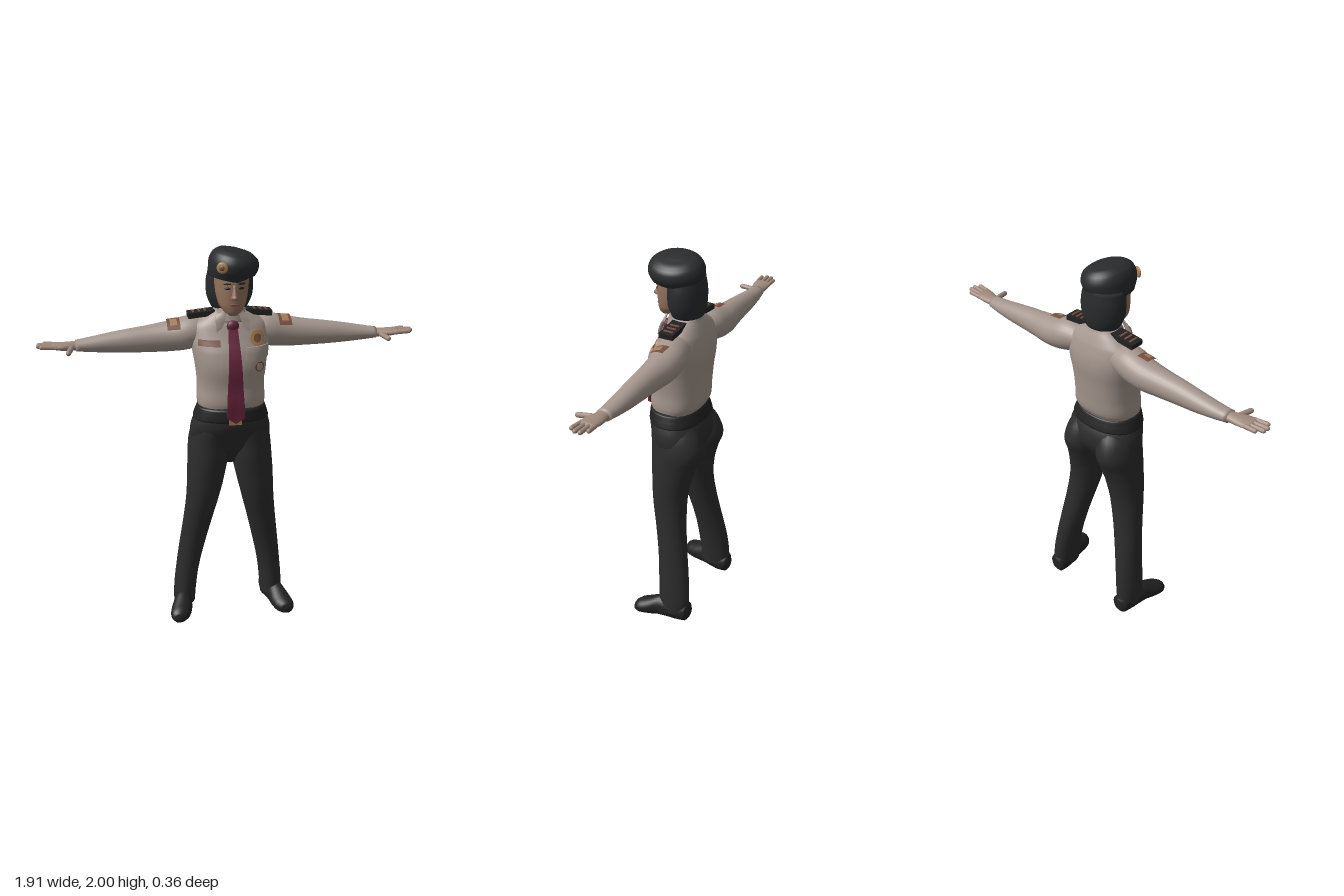
import * as THREE from 'three';

const mat = (name, color) => Object.assign(new THREE.MeshStandardMaterial({ color }), { name });

// Catmull-Rom blend of section i and i+1; the running axis stays linear
function sample(sec, axis, i, f) {
  const at = k => sec[Math.min(Math.max(k, 0), sec.length - 1)];
  const [a, b, c, d] = [at(i - 1), at(i), at(i + 1), at(i + 2)];
  return b.map((v, k) => k === axis ? v + (c[k] - v) * f
    : 0.5 * (2 * v + (c[k] - a[k]) * f + (2 * a[k] - 5 * v + 4 * c[k] - d[k]) * f * f
      + (3 * v - a[k] - 3 * c[k] + d[k]) * f * f * f));
}

// Smooth closed skin over sections [x, y, z, r1, r2] running up the given axis
function loft(sec, axis = 1, e = 1, sides = 28, sub = 4) {
  const pos = [], idx = [], rings = (sec.length - 1) * sub;
  const pw = v => Math.sign(v) * Math.abs(v) ** e;
  for (let k = 0; k <= rings; k++) {
    const i = Math.min(Math.floor(k / sub), sec.length - 2);
    const [x, y, z, r1, r2] = sample(sec, axis, i, k / sub - i);
    for (let j = 0; j < sides; j++) {
      const t = j / sides * Math.PI * 2, c = r1 * pw(Math.cos(t)), s = r2 * pw(Math.sin(t));
      const p = axis === 1 ? [x + c, y, z + s] : axis === 0 ? [x, y + c, z - s] : [x + c, y - s, z];
      pos.push(...p);
    }
  }
  const first = sec[0], last = sec[sec.length - 1], c0 = pos.length / 3;
  pos.push(...first.slice(0, 3), ...last.slice(0, 3));
  for (let j = 0; j < sides; j++) {
    const n = (j + 1) % sides, top = rings * sides;
    for (let i = 0; i < rings; i++) {
      const a = i * sides, b = a + sides;
      idx.push(a + j, b + j, a + n, b + j, b + n, a + n);
    }
    idx.push(j, n, c0, top + n, top + j, c0 + 1);
  }
  const g = new THREE.BufferGeometry();
  g.setAttribute('position', new THREE.Float32BufferAttribute(pos, 3));
  g.setIndex(idx);
  g.computeVertexNormals();
  return g;
}

function mirrored(geo) {
  const g = geo.clone().scale(-1, 1, 1), ix = g.index;
  for (let i = 0; i < ix.count; i += 3) {
    const a = ix.getX(i);
    ix.setX(i, ix.getX(i + 2));
    ix.setX(i + 2, a);
  }
  g.computeVertexNormals();
  return g;
}

// Capsule between two points
function capsule(a, b, r) {
  const A = new THREE.Vector3(...a), B = new THREE.Vector3(...b), d = B.clone().sub(A);
  const g = new THREE.CapsuleGeometry(r, d.length(), 5, 10);
  g.applyQuaternion(new THREE.Quaternion().setFromUnitVectors(new THREE.Vector3(0, 1, 0), d.normalize()));
  const m = A.add(B).multiplyScalar(0.5);
  return g.translate(m.x, m.y, m.z);
}

const blob = (x, y, z, rx, ry, rz, turn = 0) =>
  new THREE.SphereGeometry(1, 18, 12).scale(rx, ry, rz).rotateY(turn).translate(x, y, z);

const TORSO = [[0, 1.19, .012, .165, .118], [0, 1.24, .005, .174, .135], [0, 1.32, 0, .17, .136],
  [0, 1.42, 0, .18, .143], [0, 1.5, -.012, .193, .138], [0, 1.56, -.025, .198, .12],
  [0, 1.62, -.03, .185, .098], [0, 1.66, -.03, .13, .08], [0, 1.7, -.03, .07, .062]];
const ROUND = .85;

// Depth of the shirt front at a given x and y
function shirtZ(x, y) {
  let i = 0;
  while (i < TORSO.length - 2 && TORSO[i + 1][1] < y) i++;
  const f = Math.min(Math.max((y - TORSO[i][1]) / (TORSO[i + 1][1] - TORSO[i][1]), 0), 1);
  const [, , z, rx, rz] = sample(TORSO, 1, i, f);
  return z + rz * Math.max(.02, 1 - Math.abs(x / rx) ** (2 / ROUND)) ** (ROUND / 2);
}

// Plate that follows the shirt front; fn maps u, v in -1..1 to [x, y, lift]
function patch(fn, thick = .008, n = 10) {
  const g = new THREE.BoxGeometry(2, 2, 1, n, n, 1), p = g.attributes.position;
  for (let i = 0; i < p.count; i++) {
    const [x, y, lift = 0] = fn(p.getX(i), p.getY(i));
    p.setXYZ(i, x, y, shirtZ(x, y) + lift + (p.getZ(i) + .5) * thick);
  }
  g.computeVertexNormals();
  return g;
}
const disc = (x, y, r) => (u, v) =>
  [x + r * u * Math.sqrt(1 - v * v / 2), y + r * v * Math.sqrt(1 - u * u / 2)];

export function createModel() {
  const root = new THREE.Group();
  root.name = 'uniformedOfficer';
  const shirt = mat('shirtTaupe', 0xa4968d), trouser = mat('trouserCharcoal', 0x2c2c2d),
    black = mat('beretBlack', 0x292b2c), tieRed = mat('tieMaroon', 0x64233a),
    skin = mat('faceSkin', 0x94735d), handSkin = mat('handSkin', 0xa08a7d),
    gold = mat('badgeGold', 0xa67f58), brown = mat('patchBrown', 0x76503f),
    leather = mat('leatherBlack', 0x222223);
  const add = (name, geo, m) => {
    const mesh = new THREE.Mesh(geo, m);
    mesh.name = name;
    root.add(mesh);
  };
  const pair = (name, geo, m) => {
    add(name + 'Left', geo, m);
    add(name + 'Right', mirrored(geo), m);
  };

  // Trousers and belt
  add('hips', loft([[0, .88, -.02, .07, .04], [0, .96, -.02, .18, .09], [0, 1.03, -.02, .208, .125],
    [0, 1.1, -.005, .203, .142], [0, 1.17, .01, .18, .13], [0, 1.215, .012, .172, .124]], 1, .9), trouser);
  pair('trouserLeg', loft([[.245, .035, -.085, .058, .084], [.24, .12, -.085, .06, .087],
    [.225, .25, -.075, .062, .085], [.2, .4, -.055, .069, .08], [.172, .55, -.03, .077, .082],
    [.145, .7, -.01, .088, .092], [.128, .82, -.012, .1, .105], [.115, .92, -.022, .106, .124],
    [.11, 1, -.035, .105, .139], [.1, 1.08, -.02, .098, .132], [.08, 1.16, .005, .085, .11]]), trouser);
  add('belt', loft([[0, 1.14, .005, .194, .139], [0, 1.15, .006, .193, .141], [0, 1.2, .012, .177, .132],
    [0, 1.208, .012, .172, .126]], 1, .9), leather);
  add('beltBuckle', new THREE.BoxGeometry(.065, .04, .009).translate(0, 1.155, .151), gold);

  // Shoes, flattened at the sole
  const shoe = loft([[.24, .05, -.178, .03, .035], [.241, .05, -.165, .048, .055], [.246, .05, -.1, .055, .062],
    [.262, .05, -.01, .051, .064], [.277, .038, .05, .057, .05], [.288, .03, .095, .052, .04],
    [.294, .025, .12, .034, .028], [.296, .02, .127, .014, .012]], 2);
  const sp = shoe.attributes.position;
  for (let i = 0; i < sp.count; i++) {
    const arch = sp.getZ(i) > -.09 && sp.getZ(i) < 0 ? .012 : 0;
    sp.setY(i, Math.max(sp.getY(i), arch));
  }
  shoe.computeVertexNormals();
  pair('shoe', shoe, leather);

  // Shirt body and sleeves
  add('shirtBody', loft(TORSO, 1, ROUND, 36), shirt);
  pair('sleeve', loft([[.1, 1.58, -.045, .06, .07], [.2, 1.57, -.052, .084, .086], [.3, 1.553, -.06, .077, .079],
    [.4, 1.545, -.056, .068, .066], [.5, 1.54, -.052, .06, .058], [.6, 1.535, -.05, .05, .051],
    [.7, 1.531, -.045, .037, .044], [.765, 1.53, -.04, .029, .038]], 0), shirt);
  add('collarBand', loft([[0, 1.64, -.02, .1, .09], [0, 1.675, -.015, .082, .08], [0, 1.705, -.012, .072, .07]]), shirt);
  pair('collarFlap', patch((u, v) => {
    const y = 1.65 + .04 * v;
    return [.055 + .012 * (1 - v) / 2 + u * (.016 + .014 * (v + 1) / 2), y - .012 * u, .012 + .022 * (v + 1) / 2];
  }), shirt);

  // Chest pockets with pointed flaps
  pair('pocket', patch((u, v) => [.12 + .052 * u, 1.425 + .065 * v, -.003]), shirt);
  pair('pocketFlap', patch((u, v) => [.12 + .062 * u,
    1.495 + .03 * v - (1 - Math.abs(u)) * .014 * (1 - v) / 2, .007], .009), shirt);

  // Tie with a knot, hanging forward at the tip
  add('tie', patch((u, v) => {
    const s = (1 - v) / 2;
    const y = 1.405 + .225 * v - (1 - Math.abs(u)) * .03 * Math.max(0, -v);
    return [u * (.022 + .024 * s), y, .008 + .03 * s * s];
  }, .012, 14), tieRed);
  add('tieKnot', blob(0, 1.625, .078, .031, .028, .018), tieRed);

  // Badges and name plate
  add('nameTag', patch((u, v) => [-.118 + .052 * u, 1.545 + .014 * v, .002]), brown);
  add('chestBadge', patch(disc(.122, 1.562, .038)), gold);
  add('chestBadgeCentre', patch((u, v) => [...disc(.122, 1.562, .02)(u, v), .007], .004), brown);
  add('pocketBadge', patch((u, v) => [...disc(.128, 1.425, .025)(u, v), .005]), brown);
  add('pocketBadgeCentre', patch((u, v) => [...disc(.128, 1.425, .018)(u, v), .011], .004), shirt);

  // Epaulettes with rank bars, and sleeve patches
  const onShoulder = g => g.rotateZ(-.1).translate(.143, 1.671, -.028);
  pair('epaulette', onShoulder(new THREE.BoxGeometry(.135, .026, .075)), leather);
  for (const x of [-.02, .01, .04])
    pair('rankBar', onShoulder(new THREE.BoxGeometry(.01, .006, .05).translate(x, .014, 0)), brown);
  const wrap = (x, w, r1, r2, start, len) => new THREE.CylinderGeometry(r2, r1, w, 14, 1, true, start, len)
    .rotateZ(-Math.PI / 2).translate(x, 1.557, -.057);
  pair('sleevePatch', wrap(.282, .065, .087, .081, -1.75, 1.2), brown);
  pair('sleevePatchCentre', wrap(.282, .035, .087, .084, -1.45, .6), gold);

  // Hands
  pair('palm', loft([[.74, 1.53, -.04, .022, .03], [.78, 1.53, -.036, .022, .035], [.83, 1.532, -.029, .019, .045],
    [.87, 1.535, -.027, .014, .046], [.885, 1.535, -.027, .008, .04]], 0, 1, 18), handSkin);
  [[-.066, .915], [-.041, .943], [-.015, .945], [.011, .93]].forEach(([z, tip], i) =>
    pair('finger' + (i + 1), capsule([.86, 1.535, z * .9 - .003], [tip, 1.54, z], .011), handSkin));
  pair('thumb', capsule([.785, 1.527, -.012], [.802, 1.522, .068], .013), handSkin);

  // Neck, face and features
  add('neck', loft([[0, 1.62, -.02, .062, .06], [0, 1.68, -.005, .058, .058], [0, 1.76, .005, .06, .06]]), skin);
  add('face', loft([[0, 1.682, .085, .02, .022], [0, 1.698, .072, .043, .046], [0, 1.73, .052, .066, .072],
    [0, 1.78, .035, .079, .091], [0, 1.83, .023, .086, .102], [0, 1.9, .012, .09, .108]]), skin);
  add('nose', loft([[0, 1.764, .118, .012, .012], [0, 1.774, .13, .018, .025], [0, 1.79, .127, .013, .021],
    [0, 1.835, .117, .008, .012]], 1, 1, 14), skin);
  pair('eye', blob(.033, 1.82, .117, .015, .006, .005, .3), leather);
  pair('eyebrow', blob(.035, 1.842, .117, .021, .005, .005, .3), leather);
  add('mouth', blob(0, 1.74, .122, .024, .006, .006), brown);

  // Bobbed hair
  add('hair', loft([[0, 1.69, -.032, .06, .055], [0, 1.703, -.032, .09, .078], [0, 1.76, -.03, .114, .09],
    [0, 1.83, -.028, .118, .092], [0, 1.9, -.02, .106, .092]]), black);

  // Tilted beret with a cap badge
  const beret = loft([[-.004, -.068, .018, .094, .112], [-.003, -.045, .02, .102, .122], [.008, -.03, .022, .116, .134],
    [.012, .008, .022, .123, .142], [.012, .045, .022, .112, .128], [.008, .068, .02, .08, .096],
    [.004, .077, .018, .03, .04]], 1, 1, 36);
  add('beret', beret.rotateZ(-.2).translate(0, 1.92, 0), black);
  add('beretBadge', blob(-.062, 1.925, .142, .028, .028, .009, -.4), gold);
  add('beretBadgeCentre', blob(-.064, 1.925, .147, .014, .014, .008, -.4), brown);

  return root;
}
